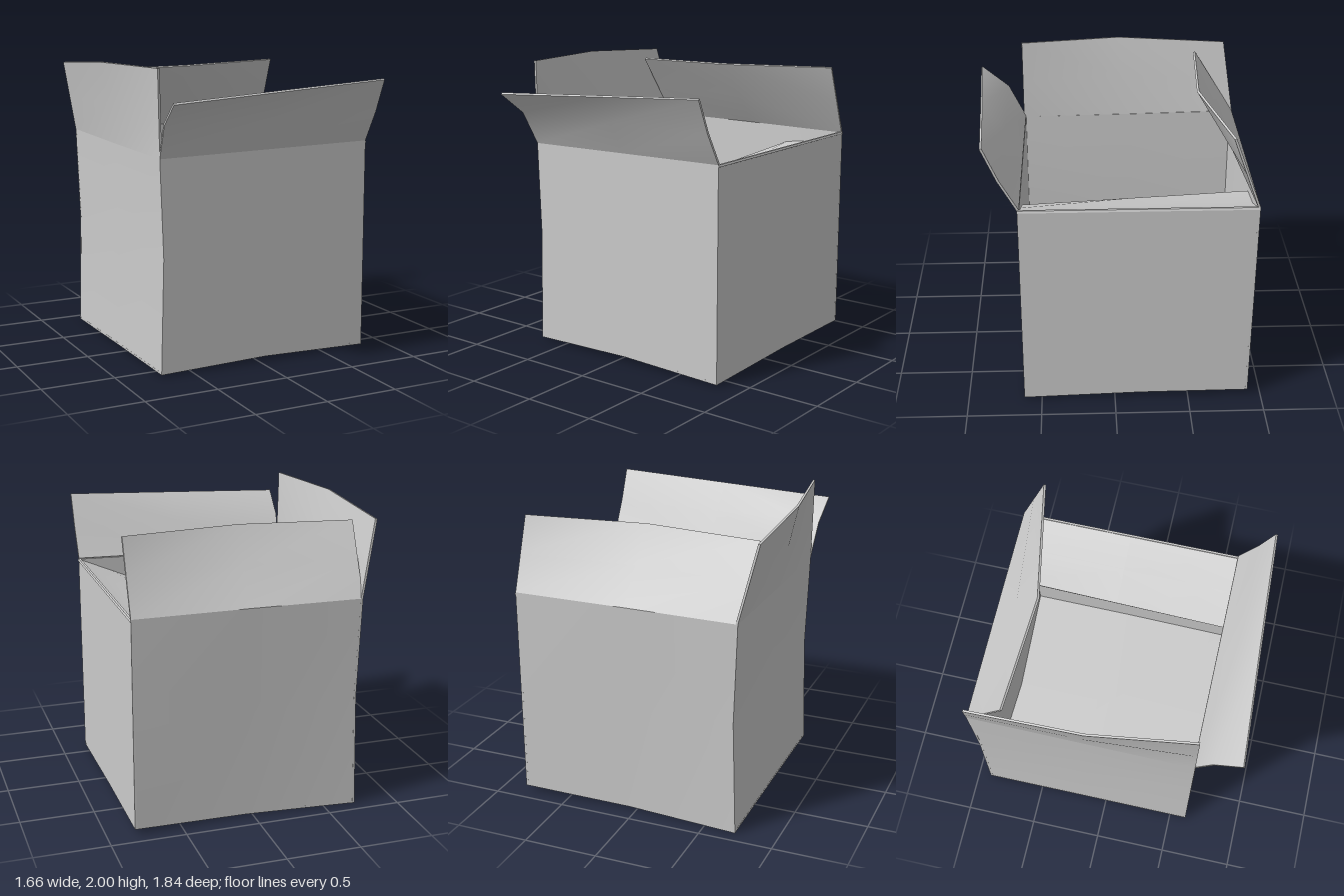
import * as THREE from 'three';
import { toCreasedNormals } from 'three/addons/utils/BufferGeometryUtils.js';

const material = new THREE.MeshStandardMaterial({ color: 0xcccccc });
const THICKNESS = 0.015;

// Card panel from a 3 x 3 grid of outer points: rows bottom to top,
// each row left to right as seen from outside; thickened inwards.
function panel(name, rows) {
  const outer = rows.flat();
  const n = rows[0].length, m = rows.length, count = n * m;
  const front = [];
  for (let r = 0; r < m - 1; r++) {
    for (let c = 0; c < n - 1; c++) {
      const a = r * n + c, b = a + 1, d = a + n, e = d + 1;
      front.push(a, b, e, a, e, d);
    }
  }
  const skin = new THREE.BufferGeometry();
  skin.setAttribute('position', new THREE.Float32BufferAttribute(outer.flat(), 3));
  skin.setIndex(front);
  skin.computeVertexNormals();
  const normal = skin.attributes.normal;
  const inner = outer.map((p, i) => [
    p[0] - normal.getX(i) * THICKNESS,
    p[1] - normal.getY(i) * THICKNESS,
    p[2] - normal.getZ(i) * THICKNESS,
  ]);

  const index = [...front];
  for (let i = 0; i < front.length; i += 3) {
    index.push(front[i] + count, front[i + 2] + count, front[i + 1] + count);
  }
  // rim around the panel, counter-clockwise
  const loop = [];
  for (let c = 0; c < n - 1; c++) loop.push(c);
  for (let r = 0; r < m - 1; r++) loop.push(r * n + n - 1);
  for (let c = n - 1; c > 0; c--) loop.push((m - 1) * n + c);
  for (let r = m - 1; r > 0; r--) loop.push(r * n);
  loop.forEach((a, i) => {
    const b = loop[(i + 1) % loop.length];
    index.push(a, a + count, b + count, a, b + count, b);
  });

  const geometry = new THREE.BufferGeometry();
  geometry.setAttribute('position', new THREE.Float32BufferAttribute([...outer, ...inner].flat(), 3));
  geometry.setIndex(index);
  const mesh = new THREE.Mesh(toCreasedNormals(geometry, 0.6), material);
  mesh.name = name;
  return mesh;
}

// Row halfway between two rows
const between = (a, b) => a.map((p, i) => p.map((v, k) => (v + b[i][k]) / 2));

export function createModel() {
  const box = new THREE.Group();
  box.name = 'openBox';

  // Bottom edges, slightly warped
  const frontLow = [[-0.72, 0.01, 0.62], [0.05, 0.03, 0.62], [0.82, 0.01, 0.62]];
  const backLow = [[0.82, 0.04, -0.91], [0.05, 0.015, -0.875], [-0.72, 0, -0.91]];
  const rightLow = [backLow[2], [-0.72, 0.008, -0.15], frontLow[0]];
  const leftLow = [frontLow[2], [0.82, 0.035, -0.18], backLow[0]];

  // Fold lines at the top
  const frontTop = [[-0.72, 1.43, 0.62], [0.05, 1.445, 0.62], [0.82, 1.46, 0.62]];
  const backTop = [[0.82, 1.46, -0.92], [0.05, 1.46, -0.92], [-0.72, 1.455, -0.92]];
  const rightTop = [backTop[2], [-0.72, 1.44, -0.15], frontTop[0]];
  const leftTop = [frontTop[2], [0.82, 1.46, -0.15], backTop[0]];

  // Middle rows; the right wall is pushed in
  const frontMid = between(frontLow, frontTop);
  const backMid = between(backLow, backTop);
  frontMid[0] = [-0.698, 0.78, 0.62];
  backMid[2] = [-0.698, 0.78, -0.915];
  const rightMid = [backMid[2], [-0.698, 0.78, -0.15], frontMid[0]];
  const leftMid = between(leftLow, leftTop);

  // Walls and floor
  box.add(
    panel('frontWall', [frontLow, frontMid, frontTop]),
    panel('backWall', [backLow, backMid, backTop]),
    panel('rightWall', [rightLow, rightMid, rightTop]),
    panel('leftWall', [leftLow, leftMid, leftTop]),
    panel('floor', [
      [...backLow].reverse(),
      [rightLow[1], [0.05, 0.025, -0.15], leftLow[1]],
      frontLow,
    ]),
  );

  // Front flap, leaning out with a curled corner
  box.add(panel('frontFlap', [
    frontTop,
    [[-0.738, 1.655, 0.735], [0.04, 1.662, 0.735], [0.82, 1.67, 0.738]],
    [[-0.755, 1.80, 0.92], [0.03, 1.845, 0.875], [0.82, 1.89, 0.833]],
  ]));

  // Back flap, leaning in
  const backTip = [[0.82, 1.94, -0.745], [0.02, 1.925, -0.59], [-0.755, 1.91, -0.635]];
  box.add(panel('backFlap', [backTop, between(backTop, backTip), backTip]));

  // Right flap, standing up and slightly out
  const rightTip = [[-0.83, 1.955, -0.85], [-0.83, 2, -0.08], [-0.73, 2, 0.62]];
  box.add(panel('rightFlap', [rightTop, between(rightTop, rightTip), rightTip]));

  // Left flap, folded down into the box
  box.add(panel('leftFlap', [
    leftTop,
    [[0.59, 1.36, 0.61], [0.59, 1.365, -0.15], [0.59, 1.37, -0.91]],
    [[0.36, 1.26, 0.61], [0.36, 1.30, -0.15], [0.36, 1.34, -0.91]],
  ]));

  return box;
}
